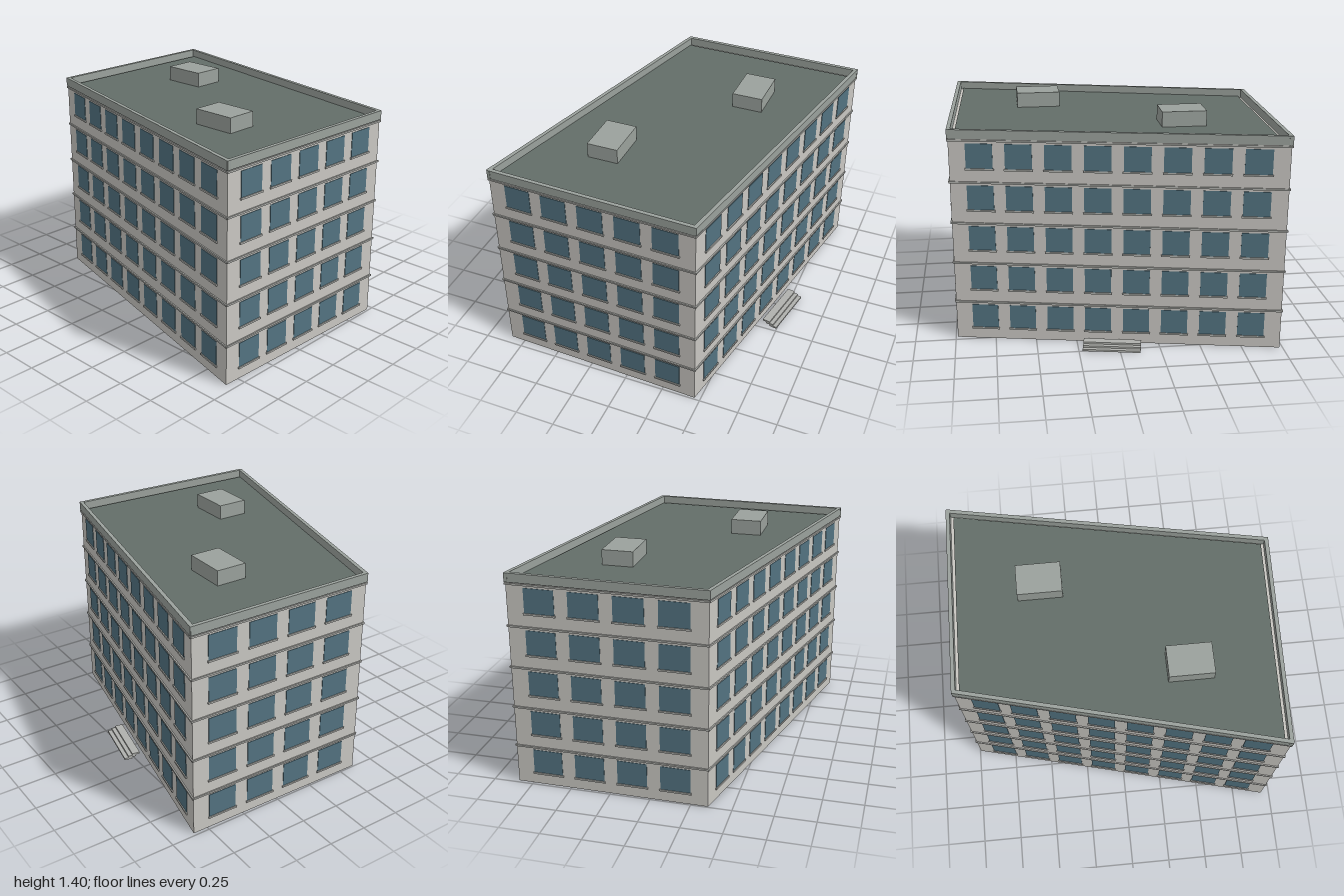
import * as THREE from 'three';

const material = (name, color) => {
  const m = new THREE.MeshStandardMaterial({ color });
  m.name = name;
  return m;
};

export function createModel() {
  const wallMat = material('pale plaster', 0xc8c6c1);
  const trimMat = material('trim grey', 0xb0b1ad);
  const capMat = material('parapet grey', 0x9aa19c);
  const glassMat = material('blue glass', 0x527280);
  const roofMat = material('roof felt', 0x636d68);

  const building = new THREE.Group();
  building.name = 'officeBlock';

  const storeys = 5, storeyH = 0.2595, wallH = storeys * storeyH;
  // Footprint corners (x, z), starting at the front wall
  const corners = [[-0.993, 0.355], [0.945, 0.845], [0.988, -0.463], [-0.98, -0.845]];
  const windowCounts = [8, 5, 8, 4];

  const add = (parent, name, geometry, mat, x = 0, y = 0, z = 0) => {
    const mesh = new THREE.Mesh(geometry, mat);
    mesh.name = name;
    mesh.position.set(x, y, z);
    parent.add(mesh);
    return mesh;
  };
  const box = (parent, name, mat, w, h, d, x, y, z) =>
    add(parent, name, new THREE.BoxGeometry(w, h, d), mat, x, y, z);

  // Upright prism over the footprint, scaled about the centre
  const prism = (name, mat, scale, y, height) => {
    const shape = new THREE.Shape(corners.map(([x, z]) => new THREE.Vector2(x * scale, -z * scale)));
    const geometry = new THREE.ExtrudeGeometry(shape, { depth: height, bevelEnabled: false });
    geometry.rotateX(-Math.PI / 2);
    add(building, name, geometry, mat, 0, y, 0);
  };
  prism('walls', wallMat, 1, 0, wallH);
  prism('roof', roofMat, 0.965, wallH, 0.008);

  // One facade per footprint edge: local x runs along it, local z points outward
  const sideNames = ['front', 'left', 'back', 'right'];
  corners.forEach(([x0, z0], side) => {
    const [x1, z1] = corners[(side + 1) % 4];
    const length = Math.hypot(x1 - x0, z1 - z0);
    const facade = new THREE.Group();
    facade.name = sideNames[side] + 'Facade';
    facade.position.set((x0 + x1) / 2, 0, (z0 + z1) / 2);
    facade.rotation.y = Math.atan2(z0 - z1, x1 - x0);
    building.add(facade);

    box(facade, 'parapet', capMat, length + 0.01, 0.055, 0.024, 0, wallH + 0.0255, -0.005);

    const count = windowCounts[side];
    const pitch = (length - 0.13) / count;
    const windowW = pitch * 0.69;
    for (let s = 0; s < storeys; s++) {
      const y = s * storeyH;
      box(facade, 'floorBand', trimMat, length + 0.01, 0.011, 0.016, 0, y + storeyH - 0.012, 0);
      for (let i = 0; i < count; i++) {
        const x = (i - (count - 1) / 2) * pitch;
        box(facade, 'window', glassMat, windowW, 0.155, 0.006, x, y + 0.152, 0);
        box(facade, 'windowSill', trimMat, windowW + 0.012, 0.011, 0.018, x, y + 0.071, 0);
      }
    }

    // Entrance steps behind the back wall
    if (side === 2) {
      for (let i = 0; i < 3; i++) {
        box(facade, 'entranceStep', trimMat, 0.355, 0.012, 0.05, -0.025, 0.03 - i * 0.012, 0.057 + i * 0.026);
      }
    }
  });

  // Rooftop plant housings
  for (const [x, z] of [[-0.438, -0.304], [0.415, 0.302]]) {
    box(building, 'roofHousing', capMat, 0.275, 0.1, 0.195, x, 1.35, z);
  }
  return building;
}
